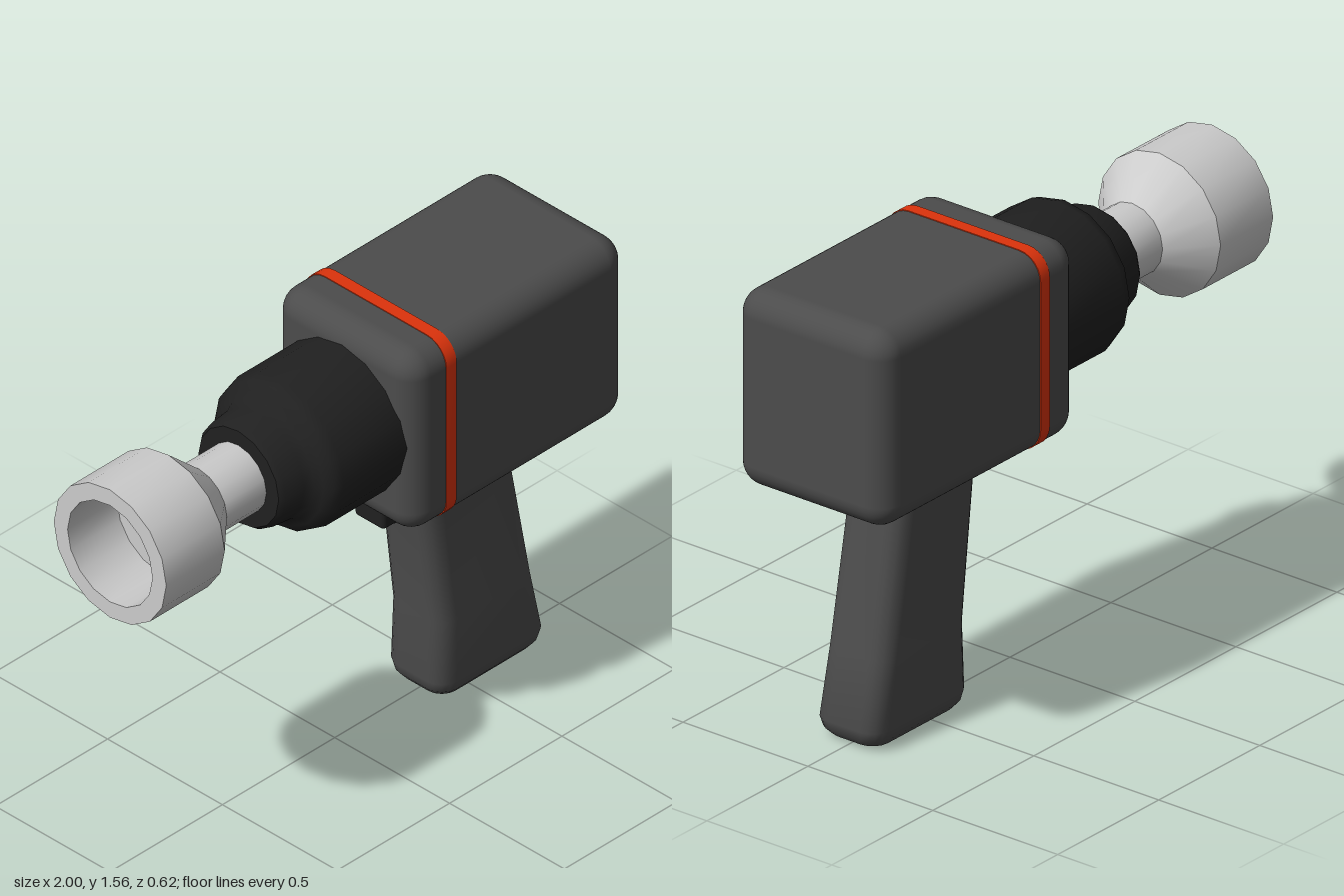
import * as THREE from 'three';
import { toCreasedNormals } from 'three/addons/utils/BufferGeometryUtils.js';
import { RoundedBoxGeometry } from 'three/addons/geometries/RoundedBoxGeometry.js';

const AXIS_Y = 1.22;
const mat = (color) => new THREE.MeshStandardMaterial({ color });
const bodyMat = mat(0x4c4c4c), blackMat = mat(0x202020), orangeMat = mat(0xdd330c), steelMat = mat(0xcccccc);

function add(group, name, geometry, material, x = 0, y = 0, z = 0) {
  const mesh = new THREE.Mesh(geometry, material);
  mesh.name = name;
  mesh.position.set(x, y, z);
  group.add(mesh);
  return mesh;
}

// Turned part along the x axis; profile is [x, radius] with x running towards -x
function turned(profile, crease) {
  const points = profile.map(([x, r]) => new THREE.Vector2(r, -x));
  const geometry = new THREE.LatheGeometry(points, 16).rotateZ(Math.PI / 2);
  return toCreasedNormals(geometry.translate(0, AXIS_Y, 0), crease);
}

// Rounded rectangle as a list of [a, b] points, counter-clockwise
function roundedRect(halfA, halfB, r, steps = 4) {
  const points = [];
  for (let corner = 0; corner < 4; corner++) {
    const ca = (corner === 0 || corner === 3 ? 1 : -1) * (halfA - r);
    const cb = (corner < 2 ? 1 : -1) * (halfB - r);
    for (let i = 0; i <= steps; i++) {
      const t = (corner + i / steps) * Math.PI / 2;
      points.push([ca + r * Math.cos(t), cb + r * Math.sin(t)]);
    }
  }
  return points;
}

// Loft of horizontal sections [y, xMin, xMax, halfZ, cornerRadius], bottom to top
function loft(sections) {
  const position = [], index = [];
  let n = 0;
  for (const [y, x0, x1, hz, r] of sections) {
    const ring = roundedRect((x1 - x0) / 2, hz, r);
    n = ring.length;
    for (const [a, b] of ring) position.push((x0 + x1) / 2 + a, y, b);
  }
  for (let s = 0; s < sections.length - 1; s++) {
    for (let i = 0; i < n; i++) {
      const a = s * n + i, b = s * n + (i + 1) % n;
      index.push(a, a + n, b, b, a + n, b + n);
    }
  }
  // end caps
  const top = (sections.length - 1) * n;
  for (let i = 1; i < n - 1; i++) {
    index.push(0, i, i + 1, top, top + i + 1, top + i);
  }
  const geometry = new THREE.BufferGeometry();
  geometry.setAttribute('position', new THREE.Float32BufferAttribute(position, 3));
  geometry.setIndex(index);
  return toCreasedNormals(geometry, 0.7);
}

export function createModel() {
  const model = new THREE.Group();
  model.name = 'impactWrench';

  // Motor housing
  add(model, 'housing', new RoundedBoxGeometry(0.97, 0.68, 0.61, 4, 0.085), bodyMat, 0.515, AXIS_Y, 0);

  // Coloured band around the housing
  const outline = roundedRect(0.308, 0.343, 0.087, 6).map(([a, b]) => new THREE.Vector2(a, b));
  const bandGeometry = new THREE.ExtrudeGeometry(new THREE.Shape(outline), { depth: 0.045, bevelEnabled: false });
  bandGeometry.rotateY(Math.PI / 2);
  add(model, 'band', toCreasedNormals(bandGeometry, 0.6), orangeMat, 0.183, AXIS_Y, 0);

  // Stepped nose collar
  add(model, 'noseCollar', turned([
    [0.12, 0], [0.12, 0.27], [-0.235, 0.27], [-0.27, 0.26], [-0.29, 0.235],
    [-0.305, 0.21], [-0.335, 0.195], [-0.41, 0.188], [-0.428, 0.175], [-0.43, 0],
  ], 0.8), blackMat);

  // Drive socket with an open end
  add(model, 'socket', turned([
    [-0.4, 0.122], [-0.605, 0.122], [-0.74, 0.245], [-1, 0.245],
    [-1, 0.185], [-0.78, 0.185], [-0.78, 0],
  ], 0.6), steelMat);

  // Slanted grip
  add(model, 'grip', loft([
    [0, 0.40, 0.77, 0.075, 0.045],
    [0.012, 0.37, 0.795, 0.105, 0.06],
    [0.035, 0.352, 0.815, 0.123, 0.065],
    [0.07, 0.345, 0.824, 0.13, 0.065],
    [0.3, 0.35, 0.778, 0.125, 0.065],
    [0.79, 0.29, 0.688, 0.122, 0.065],
    [0.88, 0.275, 0.671, 0.136, 0.065],
    [0.95, 0.265, 0.658, 0.145, 0.065],
  ]), bodyMat);

  // Trigger and the guide it slides in
  add(model, 'trigger', new RoundedBoxGeometry(0.09, 0.2, 0.13, 2, 0.015), blackMat, 0.195, 0.845, 0);
  add(model, 'triggerGuide', new RoundedBoxGeometry(0.14, 0.2, 0.1, 2, 0.02), bodyMat, 0.28, 0.822, 0);

  return model;
}
